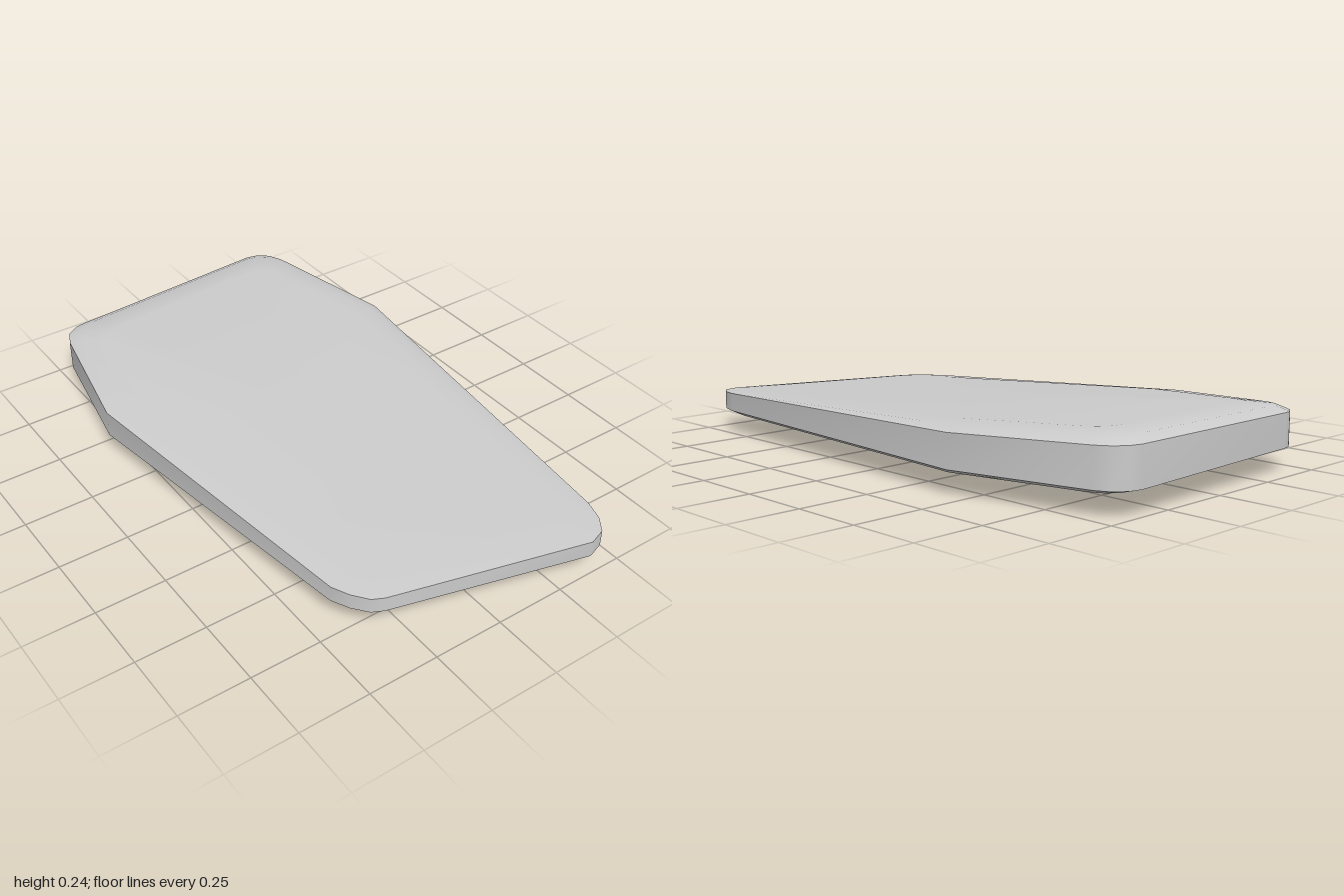
import * as THREE from 'three';
import { toCreasedNormals } from 'three/addons/utils/BufferGeometryUtils.js';

// Plan outline (x, z): along the back edge, round the right end, back along the front
const OUTLINE = [
  [-1, -0.37], [-0.99, -0.41], [-0.96, -0.45], [-0.91, -0.475],
  [-0.43, -0.59],
  [0.86, -0.485], [0.93, -0.465], [0.98, -0.43], [1, -0.37],
  [0.82, 0.31], [0.8, 0.35], [0.75, 0.39], [0.69, 0.42],
  [-0.43, 0.58],
  [-0.88, 0.495], [-0.93, 0.47], [-0.955, 0.43], [-0.96, 0.4],
];
const BACK_BEND = 4, FRONT_BEND = 13;

// Sloping top plane, and how far the bevel drops below it at the rim
const topY = (x, z) => 0.187 - 0.052 * x - 0.016 * z;
const drop = (x) => 0.018 - 0.016 * x;

// Cross-section rings, from the underside up to the top face
const RINGS = [
  { sx: 0.95, sz: 0.95, y: () => 0.064 },
  { sx: 1, sz: 1, y: () => 0.08 },
  { sx: 1, sz: 1, y: (x, z) => topY(x, z) - drop(x) },
  { sx: 0.96, sz: 0.93, y: (x, z) => topY(x, z) - drop(x) * 0.35 },
  { sx: 0.86, sz: 0.8, y: topY },
];

function slabGeometry() {
  const n = OUTLINE.length;
  const positions = [];
  const index = [];
  for (const { sx, sz, y } of RINGS) {
    for (const [px, pz] of OUTLINE) {
      const x = px * sx, z = pz * sz;
      positions.push(x, y(x, z), z);
    }
  }

  // Side wall and bevels
  for (let r = 0; r < RINGS.length - 1; r++) {
    for (let i = 0; i < n; i++) {
      const j = (i + 1) % n;
      const a = r * n + i, b = r * n + j;
      index.push(a, a + n, b, b, a + n, b + n);
    }
  }

  // Flat top face
  const centre = positions.length / 3;
  positions.push(0, topY(0, 0), 0);
  const last = (RINGS.length - 1) * n;
  for (let i = 0; i < n; i++) index.push(centre, last + ((i + 1) % n), last + i);

  // Underside: a shallow keel point on the right part, flat left of the bends
  const keel = centre + 1;
  positions.push(0, 0, 0.4);
  for (let i = BACK_BEND; i < FRONT_BEND; i++) index.push(keel, i, i + 1);
  index.push(keel, FRONT_BEND, BACK_BEND);
  for (let k = FRONT_BEND; k < n + BACK_BEND - 1; k++) {
    index.push(BACK_BEND, k % n, (k + 1) % n);
  }

  const geometry = new THREE.BufferGeometry();
  geometry.setAttribute('position', new THREE.Float32BufferAttribute(positions, 3));
  geometry.setIndex(index);
  return toCreasedNormals(geometry, 0.6);
}

export function createModel() {
  const group = new THREE.Group();
  const slab = new THREE.Mesh(slabGeometry(), new THREE.MeshStandardMaterial({ color: 0xcccccc }));
  slab.name = 'stoneSlab';
  group.add(slab);
  return group;
}
